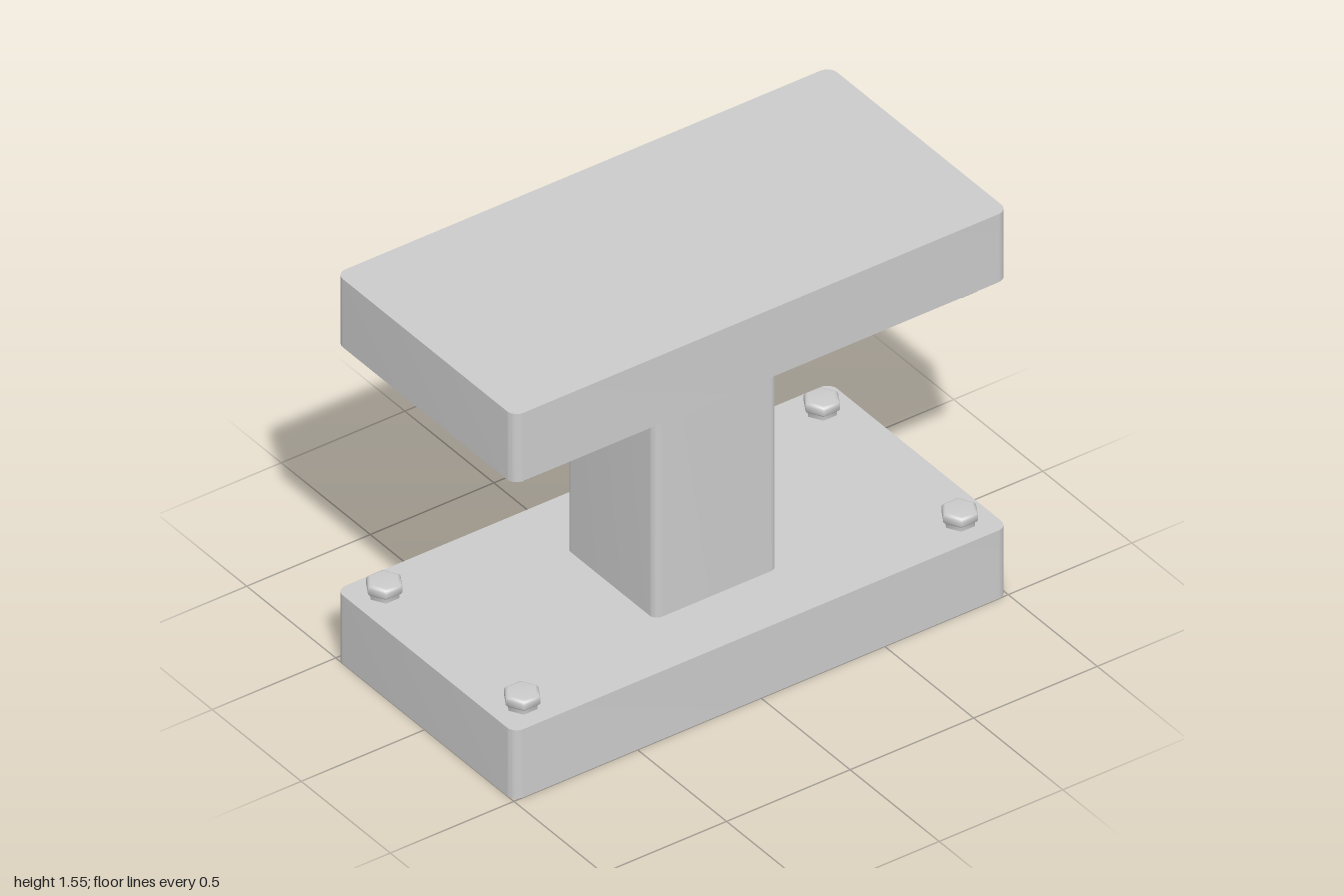
import * as THREE from 'three';
import { toCreasedNormals } from 'three/addons/utils/BufferGeometryUtils.js';

const PLATE_H = 0.275;
const COLUMN_H = 1.0;
const TOTAL_H = PLATE_H * 2 + COLUMN_H;

// Upright block with rounded vertical corners, standing on y = 0
function roundedBlock(width, depth, height, r) {
  const x = width / 2, z = depth / 2;
  const s = new THREE.Shape();
  s.moveTo(-x + r, -z);
  s.lineTo(x - r, -z);
  s.absarc(x - r, -z + r, r, -Math.PI / 2, 0);
  s.lineTo(x, z - r);
  s.absarc(x - r, z - r, r, 0, Math.PI / 2);
  s.lineTo(-x + r, z);
  s.absarc(-x + r, z - r, r, Math.PI / 2, Math.PI);
  s.lineTo(-x, -z + r);
  s.absarc(-x + r, -z + r, r, Math.PI, Math.PI * 1.5);
  const g = new THREE.ExtrudeGeometry(s, { depth: height, bevelEnabled: false, curveSegments: 6 });
  g.rotateX(-Math.PI / 2);
  return toCreasedNormals(g, 0.6);
}

// Six-sided bolt with a softened head; corners point along z
function boltGeometry() {
  const profile = [
    [0.055, -0.01], [0.055, 0.018], [0.06, 0.019], [0.066, 0.026],
    [0.066, 0.044], [0.062, 0.053], [0.052, 0.058], [0, 0.058],
  ].map(([r, y]) => new THREE.Vector2(r, y));
  return new THREE.LatheGeometry(profile, 6);
}

export function createModel() {
  const model = new THREE.Group();
  const material = new THREE.MeshStandardMaterial({ color: 0xcccccc });

  const add = (name, geometry, x, y, z) => {
    const mesh = new THREE.Mesh(geometry, material);
    mesh.name = name;
    mesh.position.set(x, y, z);
    model.add(mesh);
    return mesh;
  };

  // Plates and the column between them
  const plate = roundedBlock(1, 2, PLATE_H, 0.04);
  add('basePlate', plate, 0, 0, 0);
  add('topPlate', plate, 0, TOTAL_H - PLATE_H, 0);
  add('column', roundedBlock(0.5, 0.5, COLUMN_H, 0.03), 0, PLATE_H, 0);

  // Bolts on the facing sides of both plates
  const bolt = boltGeometry();
  for (const x of [-0.387, 0.387]) {
    for (const z of [-0.885, 0.885]) {
      add('baseBolt', bolt, x, PLATE_H, z);
      add('topBolt', bolt, x, TOTAL_H - PLATE_H, z).rotation.z = Math.PI;
    }
  }
  return model;
}
